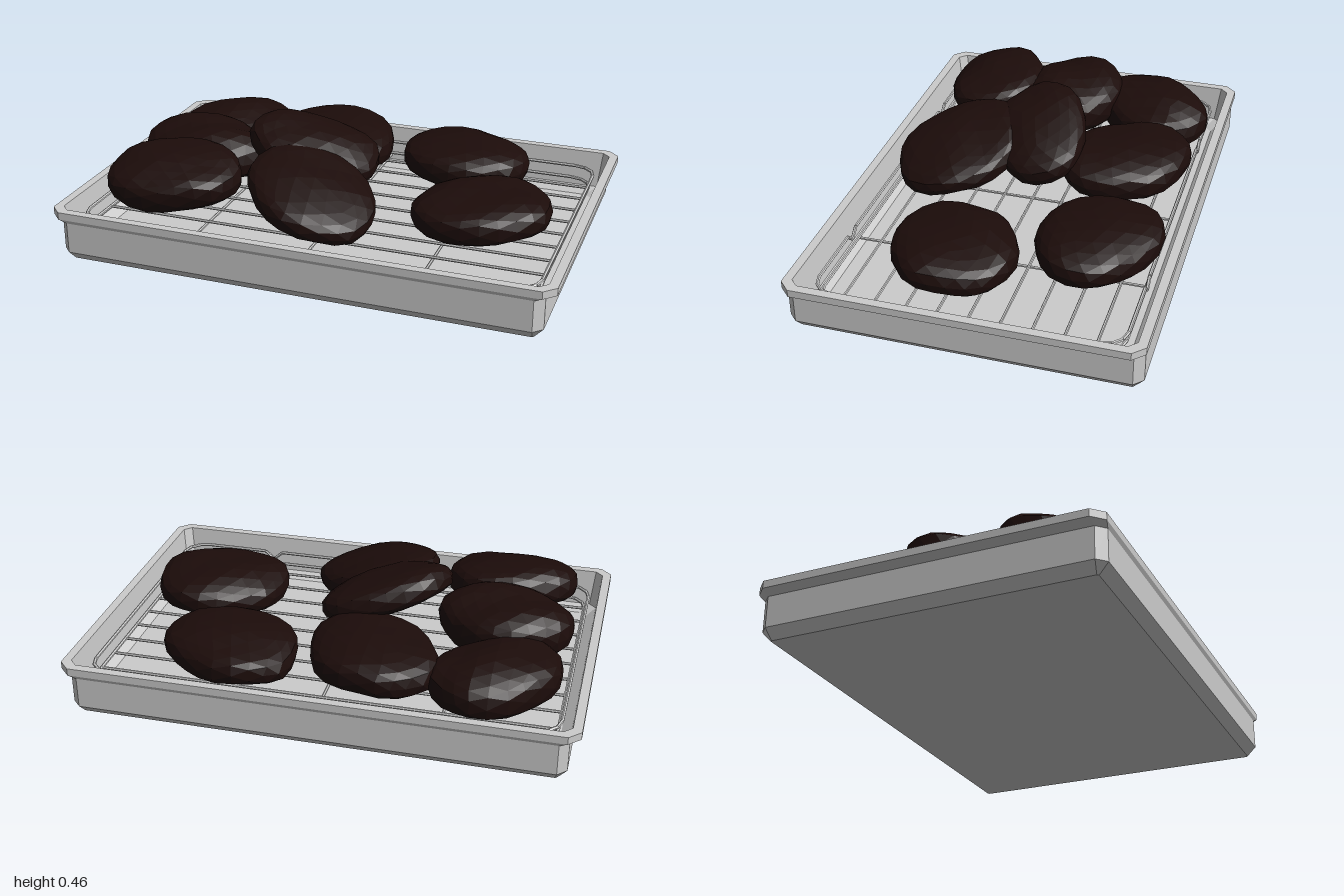
import * as THREE from 'three';

const steel = new THREE.MeshStandardMaterial({ color: 0xcccccc, flatShading: true });
const charred = new THREE.MeshStandardMaterial({ color: 0x1c0c0a, flatShading: true });

// Tray cross-sections: half width, half depth, corner cut, height; outside up, over the rim, inside down
const TRAY = [
  [0.925, 0.635, 0.006, 0],
  [0.96, 0.672, 0.035, 0.04],
  [0.96, 0.672, 0.035, 0.165],
  [1, 0.68, 0.045, 0.18],
  [1, 0.68, 0.045, 0.21],
  [0.965, 0.645, 0.03, 0.21],
  [0.95, 0.625, 0.03, 0.06],
  [0.91, 0.592, 0.03, 0.03],
];

function cutRectangle([w, d, c, y]) {
  return [
    [w, d - c], [w, c - d], [w - c, -d], [c - w, -d],
    [-w, c - d], [-w, d - c], [c - w, d], [w - c, d],
  ].map(([x, z]) => [x, y, z]);
}

function trayGeometry() {
  const loops = TRAY.map(cutRectangle);
  const pos = [];
  const tri = (a, b, c) => pos.push(...a, ...b, ...c);
  for (let i = 0; i + 1 < loops.length; i++) {
    for (let j = 0; j < 8; j++) {
      const k = (j + 1) % 8;
      const [a, b, c, d] = [loops[i][j], loops[i][k], loops[i + 1][k], loops[i + 1][j]];
      tri(a, b, c);
      tri(a, c, d);
    }
  }
  const bottom = loops[0], floor = loops[loops.length - 1];
  for (let j = 1; j < 7; j++) {
    tri(bottom[0], bottom[j + 1], bottom[j]);
    tri(floor[0], floor[j], floor[j + 1]);
  }
  const g = new THREE.BufferGeometry();
  g.setAttribute('position', new THREE.Float32BufferAttribute(pos, 3));
  g.computeVertexNormals();
  return g;
}

// Thin wire between two points
function wire(name, a, b, r = 0.006) {
  const from = new THREE.Vector3(...a), to = new THREE.Vector3(...b);
  const dir = to.clone().sub(from);
  const mesh = new THREE.Mesh(new THREE.CylinderGeometry(r, r, dir.length(), 6), steel);
  mesh.position.copy(from).add(to).multiplyScalar(0.5);
  mesh.quaternion.setFromUnitVectors(new THREE.Vector3(0, 1, 0), dir.normalize());
  mesh.name = name;
  return mesh;
}

// Rounded wire rectangle; dip > 0 bends the long sides down in small notches
function wireRing(name, w, d, y, dip) {
  const r = 0.09, path = [];
  for (let q = 0; q < 4; q++) {
    const sx = q === 0 || q === 3 ? 1 : -1, sz = q < 2 ? 1 : -1;
    for (let s = 0; s <= 3; s++) {
      const a = (q + s / 3) * Math.PI / 2;
      path.push([sx * (w - r) + r * Math.cos(a), y, sz * (d - r) + r * Math.sin(a)]);
    }
    if (dip > 0 && q % 2 === 0) {
      for (const x of [0.52 * sx, -0.52 * sx]) {
        path.push([x + 0.04 * sx, y, sz * d], [x, y - dip, sz * d], [x - 0.04 * sx, y, sz * d]);
      }
    }
  }
  const ring = new THREE.Group();
  ring.name = name;
  path.forEach((p, i) => ring.add(wire('ringWire', p, path[(i + 1) % path.length], 0.007)));
  return ring;
}

function buildRack() {
  const rack = new THREE.Group();
  rack.name = 'wireRack';
  const W = 0.905, D = 0.58, Y = 0.11;
  rack.add(wireRing('lowerFrame', W, D, Y, 0), wireRing('upperFrame', W + 0.013, D + 0.01, 0.16, 0.035));

  // Long bars and the cross bars beneath them
  for (let i = -4; i <= 4; i++) rack.add(wire('longBar', [-W, Y, i * 0.121], [W, Y, i * 0.121]));
  for (const x of [-0.47, 0, 0.47]) rack.add(wire('crossBar', [x, Y - 0.01, -D], [x, Y - 0.01, D]));
  return rack;
}

// Lumpy flattened slab of meat with blunt edges
function slabGeometry(rx, ry, rz, seed) {
  const g = new THREE.IcosahedronGeometry(1, 3);
  const p = g.attributes.position;
  const v = new THREE.Vector3();
  for (let i = 0; i < p.count; i++) {
    v.fromBufferAttribute(p, i).normalize();
    const { x, y, z } = v;
    const edge = 1.01 + 0.04 * Math.sin(3 * x + 2.5 * z + seed * 2.1) + 0.015 * Math.sin(6 * z - 5 * x + seed * 3.7);
    const flat = Math.sign(y) * Math.pow(Math.abs(y), 0.65);
    const bump = 0.1 * Math.sin(3 * x + seed * 1.3) * Math.cos(3 * z + seed) + 0.04 * Math.sin(5 * z + 4 * x + seed);
    p.setXYZ(i, rx * x * edge, ry * (flat + bump), rz * z * edge);
  }
  g.computeVertexNormals();
  return g;
}

// Centre x, y, z; half length, half thickness, half depth; yaw, tilt about x, tilt about z
const SLABS = [
  [-0.65, 0.23, -0.36, 0.28, 0.1, 0.21, 0.7, 0, 0],
  [-0.17, 0.25, -0.35, 0.28, 0.09, 0.23, -0.65, 0, 0],
  [0.39, 0.225, -0.37, 0.28, 0.085, 0.23, -0.35, 0, 0],
  [0.6, 0.23, 0.135, 0.28, 0.085, 0.245, 0.2, 0, 0.04],
  [-0.63, 0.27, 0.0, 0.265, 0.11, 0.21, -0.1, 0, 0],
  [-0.14, 0.34, 0.015, 0.27, 0.08, 0.2, 0.3, 0.16, -0.33],
  [-0.61, 0.285, 0.34, 0.275, 0.095, 0.21, 0.1, 0.18, 0],
  [-0.035, 0.28, 0.32, 0.275, 0.075, 0.24, -0.4, 0.17, -0.26],
];

export function createModel() {
  const model = new THREE.Group();
  model.name = 'trayOfMeat';

  const tray = new THREE.Mesh(trayGeometry(), steel);
  tray.name = 'tray';
  model.add(tray, buildRack());

  const meat = new THREE.Group();
  meat.name = 'meatSlabs';
  SLABS.forEach(([x, y, z, rx, ry, rz, yaw, tiltX, tiltZ], i) => {
    const slab = new THREE.Mesh(slabGeometry(rx, ry, rz, i + 1), charred);
    slab.name = 'meatSlab';
    slab.position.set(x, y, z);
    slab.rotation.set(tiltX, yaw, tiltZ, 'ZXY');
    meat.add(slab);
  });
  model.add(meat);
  return model;
}
